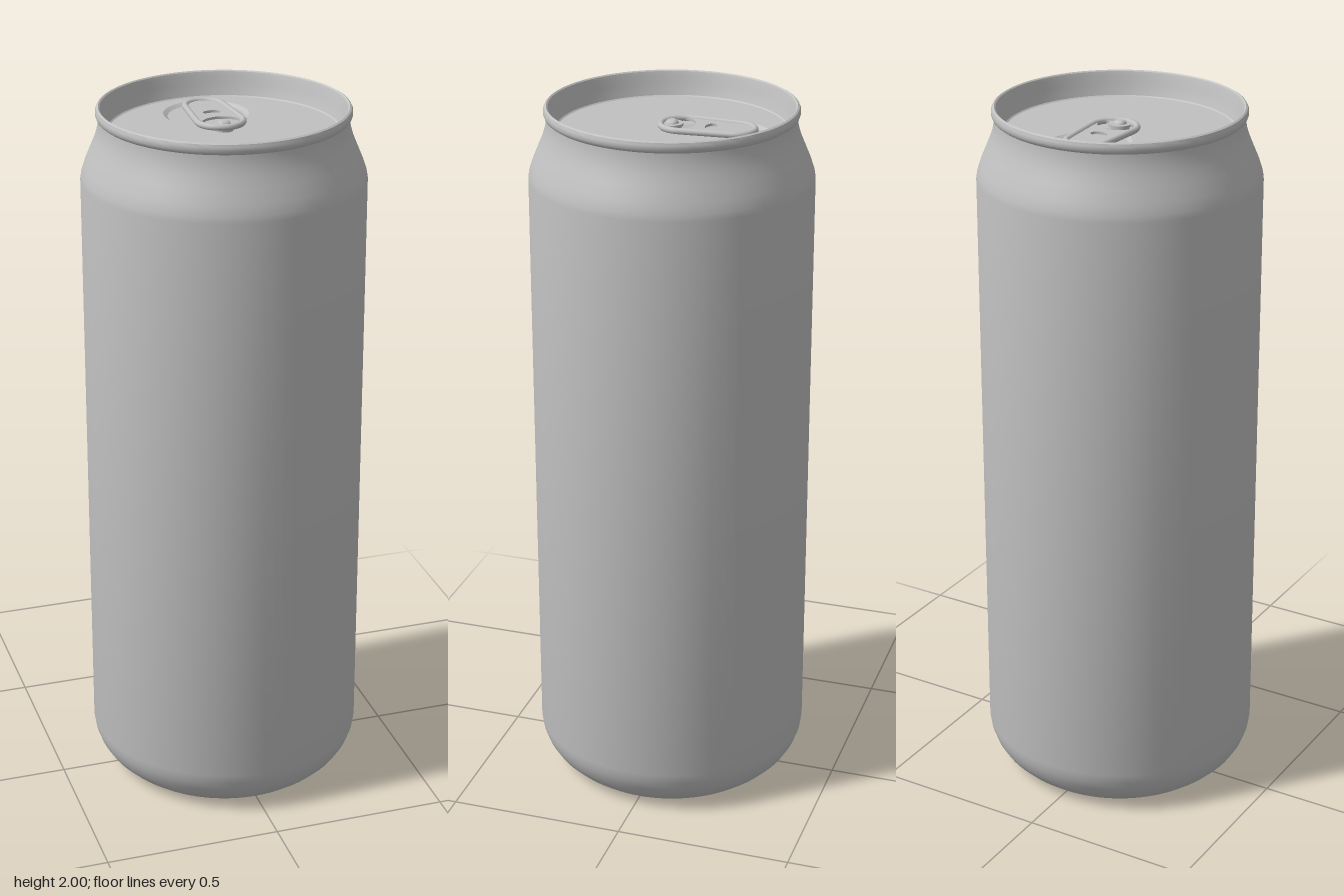
import * as THREE from 'three';
import { toCreasedNormals } from 'three/addons/utils/BufferGeometryUtils.js';

const SEGMENTS = 96;
const LID_Y = 1.93;
const V = (x, y) => new THREE.Vector2(x, y);

// Closed outline around two circles on the centre line (back circle R, front circle r)
function hullOutline(back, R, front, r, inset = 0) {
  const a = Math.asin((R - r) / (back - front));
  const points = [];
  const arc = (c, rad, from, to, n) => {
    for (let i = 0; i <= n; i++) {
      const t = from + (to - from) * i / n;
      points.push(V(rad * Math.cos(t), c + rad * Math.sin(t)));
    }
  };
  arc(back, R - inset, -a, Math.PI + a, 32);
  arc(front, r - inset, Math.PI + a, 2 * Math.PI - a, 24);
  return points;
}

// Strip between two outlines at two heights
function loft(outer, yOuter, inner, yInner) {
  const n = outer.length, pos = [], index = [];
  outer.forEach(p => pos.push(p.x, yOuter, -p.y));
  inner.forEach(p => pos.push(p.x, yInner, -p.y));
  for (let i = 0; i < n; i++) {
    const j = (i + 1) % n;
    index.push(i, j, n + j, i, n + j, n + i);
  }
  const g = new THREE.BufferGeometry();
  g.setAttribute('position', new THREE.Float32BufferAttribute(pos, 3));
  g.setIndex(index);
  g.computeVertexNormals();
  return g;
}

export function createModel() {
  const model = new THREE.Group();
  model.name = 'drinkCan';
  const aluminium = new THREE.MeshStandardMaterial({ color: 0xc0c0c0 });
  aluminium.name = 'aluminium';

  const add = (name, geometry, y = 0, parent = model) => {
    const mesh = new THREE.Mesh(geometry, aluminium);
    mesh.name = name;
    mesh.position.y = y;
    parent.add(mesh);
    return mesh;
  };
  const flat = shape => new THREE.ShapeGeometry(shape, SEGMENTS).rotateX(-Math.PI / 2);
  const lathe = (points, n = SEGMENTS) =>
    toCreasedNormals(new THREE.LatheGeometry(points.map(p => V(...p)), n), 0.6);

  // Shell: domed underside, foot, wall, neck, rolled rim and inner rim wall
  add('body', lathe([
    [0, 0.15], [0.08, 0.146], [0.16, 0.132], [0.22, 0.112], [0.27, 0.085],
    [0.28, 0.07], [0.288, 0.02], [0.295, 0.003], [0.302, 0], [0.312, 0.004],
    [0.335, 0.022], [0.358, 0.045], [0.375, 0.072], [0.386, 0.102], [0.39, 0.13],
    [0.39, 1.8], [0.387, 1.818], [0.378, 1.845], [0.362, 1.883], [0.35, 1.912],
    [0.343, 1.935], [0.339, 1.955], [0.338, 1.968], [0.343, 1.972], [0.346, 1.98],
    [0.346, 1.99], [0.343, 1.997], [0.338, 2], [0.334, 1.997], [0.331, 1.988],
    [0.326, 1.965], [0.319, 1.942], [0.316, 1.933], [0.312, LID_Y],
  ]));

  // Lid panel with a shallow teardrop recess behind the tab
  const recess = inset => hullOutline(0.163 + 0.0, 0.118, -0.01, 0.02, inset)
    .map(p => V(p.x, p.y));
  const recessOuter = recess(0), recessInner = recess(0.012);
  const lid = new THREE.Shape().absarc(0, 0, 0.3125, 0, Math.PI * 2);
  lid.holes.push(new THREE.Path(recessOuter));
  add('lidPanel', flat(lid), LID_Y);
  add('recessWall', loft(recessOuter, LID_Y, recessInner, LID_Y - 0.008));
  add('recessFloor', flat(new THREE.Shape(recessInner)), LID_Y - 0.008);

  // Pull tab: plate with a finger slot and a D-shaped opening around the rivet tongue
  const tab = new THREE.Group();
  tab.name = 'pullTab';
  tab.position.y = LID_Y + 0.008;
  model.add(tab);
  const plate = new THREE.Shape(hullOutline(0.178, 0.062, 0.034, 0.072, 0.008));
  plate.holes.push(new THREE.Path().absellipse(0, 0.11, 0.025, 0.016, 0, Math.PI * 2));
  const opening = new THREE.Path();
  opening.absellipse(0, 0.018, 0.054, 0.047, 0, Math.PI);
  opening.quadraticCurveTo(-0.052, -0.004, -0.031, -0.004);
  opening.absarc(0, 0, 0.031, Math.PI, 0, true);
  opening.quadraticCurveTo(0.052, -0.004, 0.054, 0.018);
  plate.holes.push(opening);
  add('tabPlate', new THREE.ExtrudeGeometry(plate,
    { depth: 0.007, bevelEnabled: false, curveSegments: 24 }).rotateX(-Math.PI / 2), 0.003, tab);

  // Curled edge of the tab
  const edge = hullOutline(0.178, 0.062, 0.034, 0.072, 0.009)
    .map(p => new THREE.Vector3(p.x, 0, -p.y))
    .filter((p, i, all) => i === 0 || p.distanceTo(all[i - 1]) > 0.001);
  const edgeCurve = new THREE.CatmullRomCurve3(edge, true);
  add('tabCurl', new THREE.TubeGeometry(edgeCurve, 120, 0.009, 10, true), 0.008, tab);

  // Rivet holding the tab to the lid
  add('rivet', lathe([
    [0.026, 0], [0.026, 0.012], [0.024, 0.014], [0.019, 0.015], [0.018, 0.02],
    [0.014, 0.025], [0.008, 0.028], [0, 0.029],
  ], 32), LID_Y);

  return model;
}
